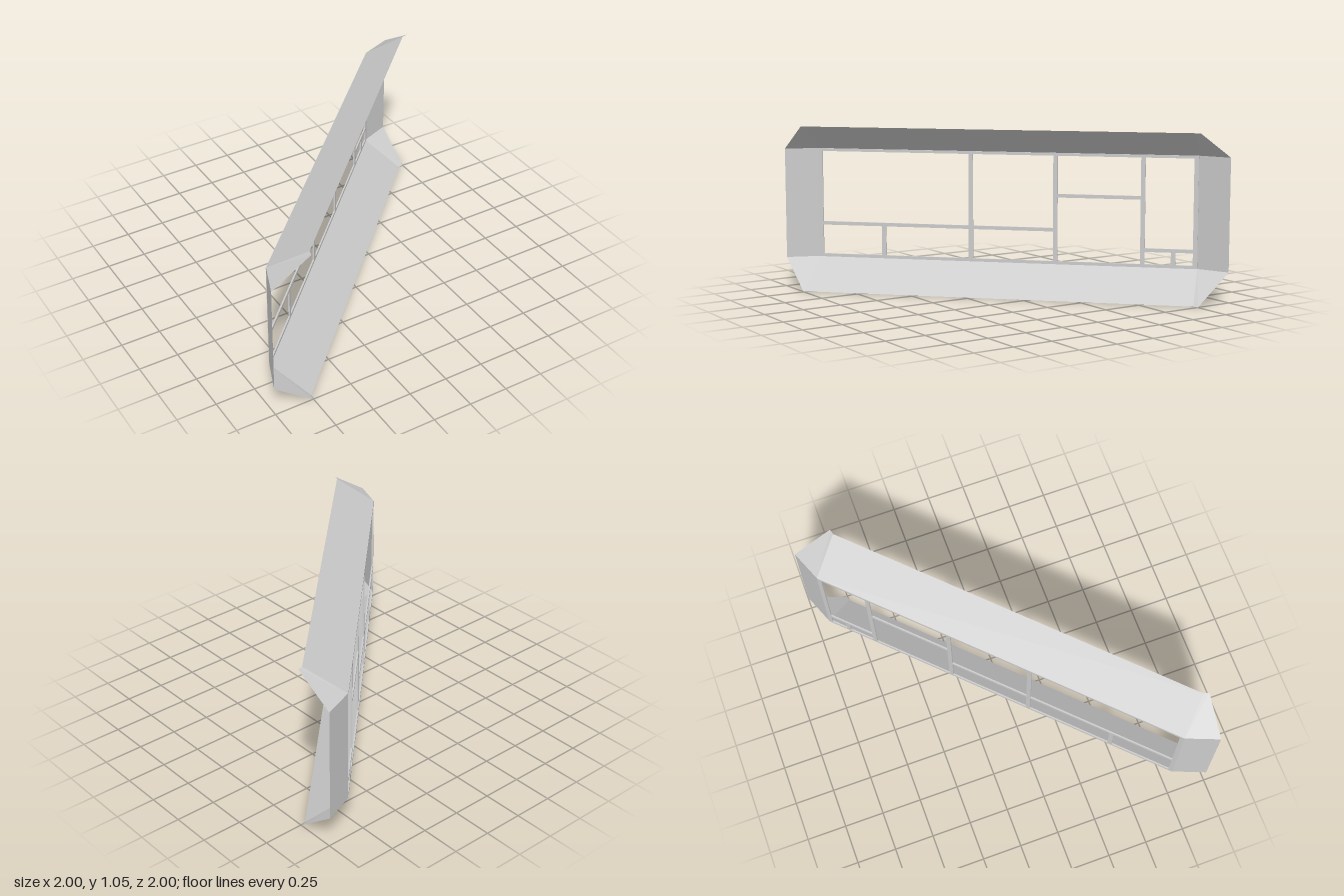
import * as THREE from 'three';

const material = new THREE.MeshStandardMaterial({ color: 0xcccccc, flatShading: true, side: THREE.DoubleSide });

// Heights of the opening and of the flared surround
const LOW = 0.187, HIGH = 0.888, BOTTOM = 0, TOP = 1.046;
// Plan points of one end [along the wall, outward]
const INNER = [1.213, -0.09], SIDE = [1.409, -0.005], TIP = [1.24, 0.175], LIP = [1.21, 0.157];

const at = ([x, z], y, s = 1) => [s * x, y, z];

// Flat four-cornered panel
function panel(name, corners) {
  const geometry = new THREE.BufferGeometry();
  geometry.setAttribute('position', new THREE.Float32BufferAttribute(corners.flat(), 3));
  geometry.setIndex([0, 1, 2, 0, 2, 3]);
  geometry.computeVertexNormals();
  const mesh = new THREE.Mesh(geometry, material);
  mesh.name = name;
  return mesh;
}

function rectangle(PathClass, x0, x1, y0, y1) {
  return new PathClass([[x0, y0], [x1, y0], [x1, y1], [x0, y1]].map(p => new THREE.Vector2(...p)));
}

// Thin lattice of bars, cut out pane by pane
function windowBars() {
  const L = -1.199, R = 1.199, B = 0.195, T = 0.881;
  const a = -0.781, b = -0.213, c = 0.327, d = 0.874, e = 1.064;
  const panes = [
    [L, b, 0.405, T], [b, c, 0.405, T],
    [L, a, B, 0.405], [a, b, B, 0.405], [b, c, B, 0.405],
    [c, d, 0.62, T], [c, d, B, 0.62],
    [d, R, 0.295, T], [d, e, B, 0.295], [e, R, B, 0.295],
  ];
  const shape = rectangle(THREE.Shape, -INNER[0], INNER[0], LOW, HIGH);
  for (const [x0, x1, y0, y1] of panes) {
    shape.holes.push(rectangle(THREE.Path, x0 + 0.014, x1 - 0.014, y0 + 0.011, y1 - 0.011));
  }
  const depth = 0.01;
  const geometry = new THREE.ExtrudeGeometry(shape, { depth, bevelEnabled: false });
  geometry.translate(0, 0, INNER[1] - depth / 2 + 0.003);
  const mesh = new THREE.Mesh(geometry, material);
  mesh.name = 'windowBars';
  return mesh;
}

export function createModel() {
  const model = new THREE.Group();
  model.name = 'windowWithSurround';
  model.add(windowBars());

  // Sloping sill and hood with their corner facets
  for (const [name, inner, outer] of [['sill', LOW, BOTTOM], ['hood', HIGH, TOP]]) {
    model.add(panel(name, [at(LIP, outer, -1), at(LIP, outer), at(INNER, inner), at(INNER, inner, -1)]));
    for (const s of [-1, 1]) {
      model.add(panel(name + 'Corner', [
        at(INNER, inner, s), at(LIP, outer, s), at(TIP, outer, s), at(SIDE, inner, s)]));
    }
  }

  // Splayed side panels
  for (const s of [-1, 1]) {
    model.add(panel('sidePanel', [
      at(INNER, LOW, s), at(SIDE, LOW, s), at(SIDE, HIGH, s), at(INNER, HIGH, s)]));
  }

  // The wall stands diagonally
  model.rotation.y = Math.PI / 4;
  return model;
}
